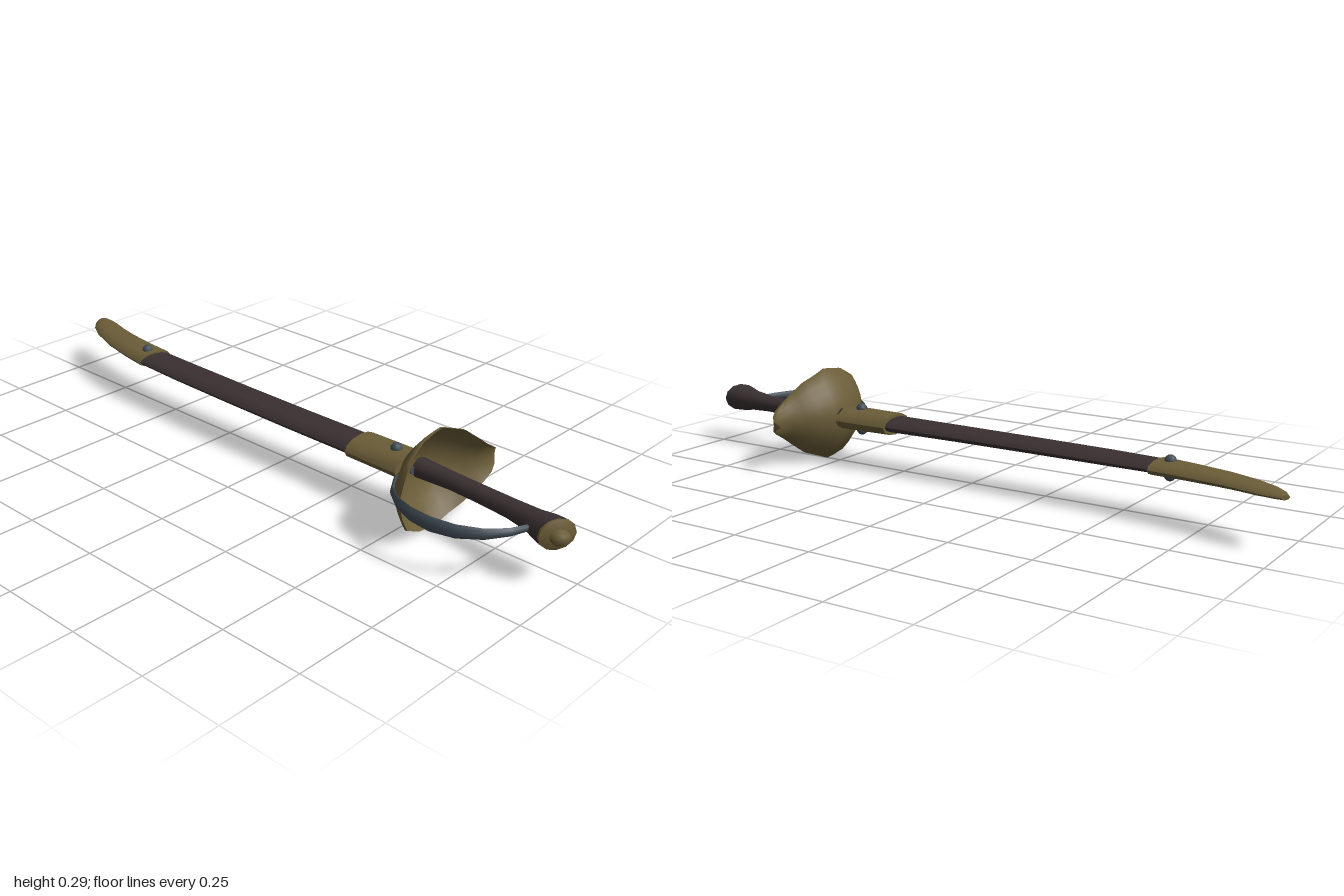
import * as THREE from 'three';
import { toCreasedNormals } from 'three/addons/utils/BufferGeometryUtils.js';

const MID = 0.146; // height of the sword's centre plane

const material = (name, color) => {
  const m = new THREE.MeshStandardMaterial({ color });
  m.name = name;
  return m;
};

// Closed skin over a list of equal-length rings, with both ends capped
function skin(rings) {
  const n = rings[0].length, pos = [], idx = [];
  rings.forEach(r => r.forEach(p => pos.push(p.x, p.y, p.z)));
  for (let i = 0; i < rings.length - 1; i++) {
    for (let j = 0; j < n; j++) {
      const a = i * n + j, b = i * n + (j + 1) % n;
      idx.push(a, a + n, b + n, a, b + n, b);
    }
  }
  [0, rings.length - 1].forEach((r, end) => {
    const c = new THREE.Vector3();
    rings[r].forEach(p => c.addScaledVector(p, 1 / n));
    const k = pos.length / 3;
    pos.push(c.x, c.y, c.z);
    for (let j = 0; j < n; j++) {
      const a = r * n + j, b = r * n + (j + 1) % n;
      idx.push(k, end ? b : a, end ? a : b);
    }
  });
  const g = new THREE.BufferGeometry();
  g.setAttribute('position', new THREE.Float32BufferAttribute(pos, 3));
  g.setIndex(idx);
  return toCreasedNormals(g, 0.9);
}

// Oval loft along a path in the xz plane: [x, z, half width, half height, optional direction]
function loft(stations, sides = 12) {
  return skin(stations.map(([x, z, w, h, dir], i) => {
    const p = stations[Math.max(i - 1, 0)], q = stations[Math.min(i + 1, stations.length - 1)];
    const t = new THREE.Vector2(...(dir || [q[0] - p[0], q[1] - p[1]])).normalize();
    return Array.from({ length: sides }, (_, j) => {
      const a = j / sides * Math.PI * 2, c = w * Math.cos(a);
      return new THREE.Vector3(x - t.y * c, MID + h * Math.sin(a), z + t.x * c);
    });
  }));
}

// Teardrop shell, stations running front to back: [z, half height, x at centre, x at rim]
function shell(stations, steps = 10, thick = 0.008) {
  return skin(stations.map(([z, w, xc, xr]) => {
    const row = d => Array.from({ length: steps + 1 }, (_, j) => {
      const s = 1 - 2 * j / steps;
      return new THREE.Vector3(xc + (xr - xc) * s * s + d, MID + w * s, z);
    });
    return [...row(0), ...row(thick).reverse()];
  }));
}

export function createModel() {
  const brass = material('brass', 0x6b5d38);
  const leather = material('dark leather', 0x3a3031);
  const steel = material('blue steel', 0x434e57);

  const model = new THREE.Group();
  model.name = 'sheathedSabre';
  const add = (name, geometry, mat) => {
    const mesh = new THREE.Mesh(geometry, mat);
    mesh.name = name;
    model.add(mesh);
    return mesh;
  };

  // Scabbard: curved body, tip fitting and mouth fitting
  add('scabbardBody', loft([
    [-0.63, -0.01, 0.054, 0.017], [-0.45, -0.003, 0.056, 0.019], [-0.2, 0.002, 0.057, 0.02],
    [0.05, 0.004, 0.058, 0.021], [0.3, 0.003, 0.058, 0.023],
  ]), leather);
  add('scabbardTip', loft([
    [-0.998, -0.118, 0.014, 0.006], [-0.975, -0.103, 0.029, 0.009], [-0.94, -0.085, 0.041, 0.012],
    [-0.88, -0.06, 0.048, 0.015], [-0.8, -0.038, 0.053, 0.018], [-0.7, -0.021, 0.057, 0.02],
    [-0.605, -0.01, 0.06, 0.022],
  ]), brass);
  add('scabbardMouth', loft([[0.28, 0.002, 0.066, 0.032], [0.46, 0.002, 0.068, 0.034]]), brass);

  // Rivets on both faces of the fittings
  for (const [x, z, h] of [[-0.64, -0.012, 0.02], [0.41, 0.002, 0.033]]) {
    for (const side of [-1, 1]) {
      add('rivet', new THREE.SphereGeometry(0.017, 10, 8), steel).position.set(x, MID + side * h, z);
    }
  }

  // Blade root between scabbard and guard
  add('bladeRoot', loft([[0.44, 0, 0.038, 0.014], [0.49, 0, 0.038, 0.014]]), steel);

  // Shell guard with its curled rear point
  add('guard', shell([
    [0.182, 0.05, 0.56, 0.572], [0.15, 0.1, 0.525, 0.565], [0.083, 0.133, 0.487, 0.556],
    [0.03, 0.141, 0.475, 0.552], [0, 0.144, 0.474, 0.552], [-0.04, 0.129, 0.48, 0.555],
    [-0.085, 0.112, 0.5, 0.565], [-0.12, 0.083, 0.53, 0.582], [-0.15, 0.058, 0.559, 0.592],
    [-0.18, 0.039, 0.582, 0.594], [-0.205, 0.023, 0.582, 0.585], [-0.222, 0.01, 0.562, 0.563],
    [-0.23, 0.002, 0.542, 0.542],
  ]), brass);

  // Grip flaring into a slanted end
  const slant = [0.86, 0.52];
  add('grip', loft([
    [0.478, -0.005, 0.03, 0.03], [0.6, -0.002, 0.028, 0.024], [0.7, 0.005, 0.029, 0.024],
    [0.8, 0.014, 0.031, 0.026], [0.88, 0.027, 0.038, 0.032], [0.925, 0.037, 0.048, 0.041, [0.95, 0.3]],
    [0.953, 0.043, 0.053, 0.044, slant],
  ]), leather);

  // Pommel cap and button
  add('pommelCap', loft([
    [0.952, 0.043, 0.053, 0.044, slant], [0.957, 0.046, 0.052, 0.043, slant],
    [0.964, 0.05, 0.03, 0.026, slant],
  ]), brass);
  add('pommelButton', loft([
    [0.955, 0.045, 0.026, 0.02, slant], [0.976, 0.057, 0.026, 0.02, slant],
    [0.984, 0.062, 0.016, 0.012, slant],
  ]), brass);

  // Knuckle bow sweeping from the guard to the pommel
  add('knuckleBow', loft([
    [0.47, 0.04, 0.005, 0.005], [0.484, 0.095, 0.006, 0.009], [0.52, 0.152, 0.006, 0.013],
    [0.57, 0.19, 0.007, 0.017], [0.63, 0.213, 0.008, 0.021], [0.695, 0.22, 0.008, 0.022],
    [0.765, 0.205, 0.008, 0.02], [0.825, 0.167, 0.008, 0.016], [0.865, 0.115, 0.008, 0.012],
    [0.888, 0.055, 0.008, 0.009],
  ], 8), steel);

  return model;
}
